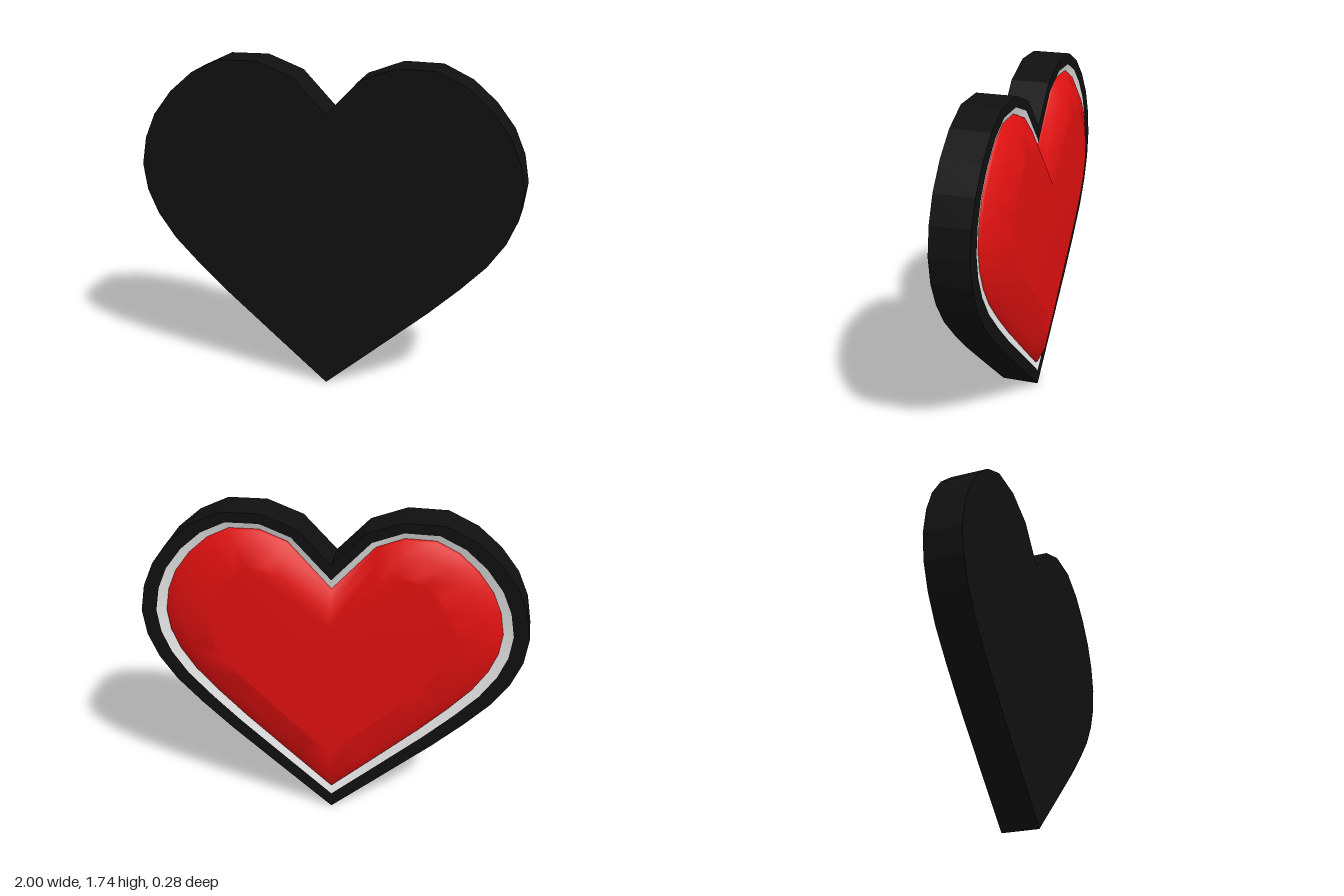
import * as THREE from 'three';

// Right half of the heart outline, from the bottom tip up to the notch
const HALF = [
  [0, 0], [0.27, 0.232], [0.545, 0.47], [0.705, 0.62], [0.835, 0.755], [0.925, 0.885],
  [0.98, 1.015], [1, 1.155], [0.975, 1.3], [0.92, 1.43], [0.825, 1.555], [0.705, 1.66],
  [0.555, 1.732], [0.355, 1.735], [0.17, 1.665], [0, 1.485],
];
const OUTLINE = [...HALF, ...HALF.slice(1, -1).reverse().map(([x, y]) => [-x, y])]
  .map(([x, y]) => new THREE.Vector2(x, y));

// Inset the outline by d, then fit it to a half width and a height range
function heart(d, halfWidth, bottom, top) {
  const n = OUTLINE.length;
  const normal = (a, b) => new THREE.Vector2(a.y - b.y, b.x - a.x).normalize();
  const pts = OUTLINE.map((p, i) => {
    const n1 = normal(OUTLINE[(i + n - 1) % n], p);
    const n2 = normal(p, OUTLINE[(i + 1) % n]);
    const miter = n1.clone().add(n2).multiplyScalar(d / (1 + n1.dot(n2)));
    return miter.add(p);
  });
  const box = new THREE.Box2().setFromPoints(pts);
  return pts.map((p) => new THREE.Vector2(
    (p.x / box.max.x) * halfWidth,
    bottom + ((p.y - box.min.y) / (box.max.y - box.min.y)) * (top - bottom),
  ));
}

// Surface through heart rings [points, z], optionally closed towards the back
function loft(rings, { cap = false, sharp = false } = {}) {
  const n = OUTLINE.length;
  const positions = [];
  const index = [];
  rings.forEach(([pts, z]) => pts.forEach((p) => positions.push(p.x, p.y, z)));
  for (let r = 0; r < rings.length - 1; r++) {
    for (let i = 0; i < n; i++) {
      const j = (i + 1) % n;
      const a = r * n + i, b = r * n + j, c = b + n, d = a + n;
      index.push(a, d, b, b, d, c);
    }
  }
  if (cap) {
    const base = (rings.length - 1) * n;
    for (const [a, b, c] of THREE.ShapeUtils.triangulateShape(rings.at(-1)[0], [])) {
      index.push(base + a, base + c, base + b);
    }
  }
  let geometry = new THREE.BufferGeometry();
  geometry.setAttribute('position', new THREE.Float32BufferAttribute(positions, 3));
  geometry.setIndex(index);
  if (sharp) geometry = geometry.toNonIndexed();
  geometry.computeVertexNormals();
  return geometry;
}

export function createModel() {
  const material = (name, color) => {
    const m = new THREE.MeshStandardMaterial({ color });
    m.name = name;
    return m;
  };
  const black = material('black', 0x101010);
  const white = material('white', 0xffffff);
  const red = material('red', 0xe01010);

  const group = new THREE.Group();
  group.name = 'heart';
  const add = (name, geometry, mat, parent = group) => {
    const mesh = new THREE.Mesh(geometry, mat);
    mesh.name = name;
    parent.add(mesh);
    return mesh;
  };

  const outer = heart(0, 1, 0, 1.735);
  const trimOuter = heart(0.06, 0.92, 0.083, 1.682);
  const trimInner = heart(0.1, 0.868, 0.132, 1.65);

  // Black plate: front face, side wall and back rim
  const plate = new THREE.Group();
  plate.name = 'plate';
  group.add(plate);
  add('plateFront', new THREE.ShapeGeometry(new THREE.Shape(outer)), black, plate).position.z = 0.14;
  add('plateWall', loft([[outer, 0.14], [outer, -0.06]], { sharp: true }), black, plate);
  add('plateRim', loft([[outer, -0.06], [trimOuter, -0.06]], { sharp: true }), black, plate);

  // White trim sloping in from the rim
  add('trim', loft([[trimOuter, -0.06], [trimInner, -0.047]]), white);

  // Red padded heart on the back
  add('cushion', loft([
    [trimInner, -0.047],
    [heart(0.105, 0.86, 0.14, 1.645), -0.06],
    [heart(0.155, 0.78, 0.23, 1.58), -0.103],
    [heart(0.22, 0.64, 0.41, 1.48), -0.14],
  ], { cap: true }), red);

  return group;
}
